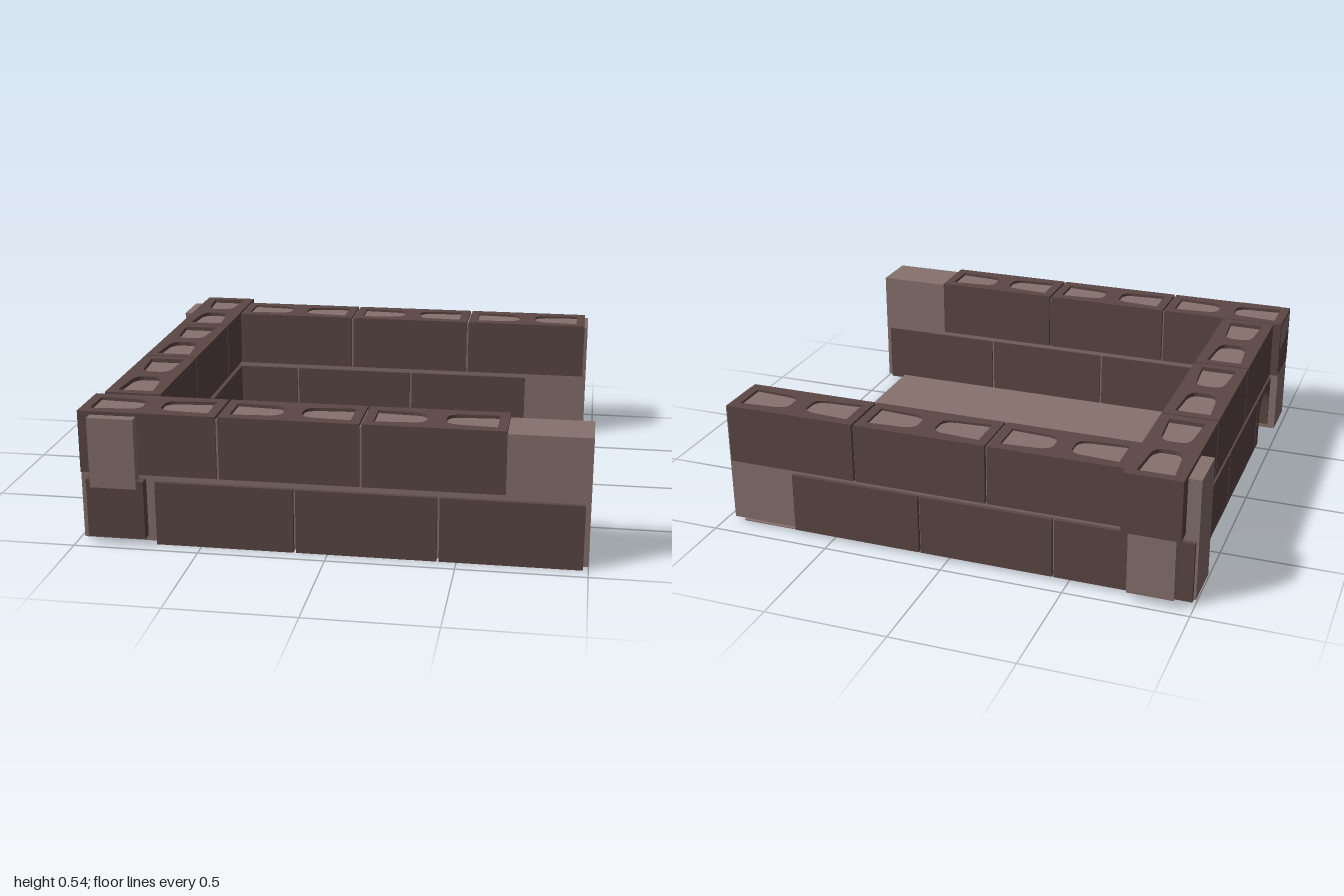
import * as THREE from 'three';

const L = 0.547, W = 0.23;   // block length and thickness

export function createModel() {
  const root = new THREE.Group();
  const blockMat = new THREE.MeshStandardMaterial({ color: 0x5b4745 });
  blockMat.name = 'dark block';
  const coreMat = new THREE.MeshStandardMaterial({ color: 0x87716d });
  coreMat.name = 'pale mortar';
  const doorMat = new THREE.MeshStandardMaterial({ color: 0xa8965a });
  doorMat.name = 'ochre wood';

  const add = (name, geo, mat, parent = root) => {
    const m = new THREE.Mesh(geo, mat);
    m.name = name;
    parent.add(m);
    return m;
  };
  const span = (name, mat, x0, x1, y0, y1, z0, z1) => {
    const m = add(name, new THREE.BoxGeometry(x1 - x0, y1 - y0, z1 - z0), mat);
    m.position.set((x0 + x1) / 2, (y0 + y1) / 2, (z0 + z1) / 2);
    return m;
  };

  // Hollow block: two cells, square at the outer end, rounded toward the middle web
  function blockGeometry(height) {
    const s = new THREE.Shape();
    s.moveTo(-L / 2, -W / 2).lineTo(L / 2, -W / 2).lineTo(L / 2, W / 2).lineTo(-L / 2, W / 2).closePath();
    for (const d of [-1, 1]) {
      const h = new THREE.Path();
      h.moveTo(d * 0.235, -0.072);
      h.lineTo(d * 0.09, -0.062);
      h.quadraticCurveTo(d * 0.042, -0.058, d * 0.037, -0.025);
      h.lineTo(d * 0.037, 0.025);
      h.quadraticCurveTo(d * 0.042, 0.058, d * 0.09, 0.062);
      h.lineTo(d * 0.235, 0.072);
      h.closePath();
      s.holes.push(h);
    }
    return new THREE.ExtrudeGeometry(s, { depth: height, bevelEnabled: false, curveSegments: 4 }).rotateX(-Math.PI / 2);
  }

  // A course of blocks along x or z, starting at `from`, centred on `across`
  function course(name, axis, from, across, y0, y1, count) {
    const g = new THREE.Group();
    g.name = name;
    const geo = blockGeometry(y1 - y0);
    for (let i = 0; i < count; i++) {
      const c = from + L / 2 + i * 0.5565;
      const b = add('block', geo, blockMat, g);
      if (axis === 'x') b.position.set(c, y0, across);
      else {
        b.rotation.y = Math.PI / 2;
        b.position.set(across, y0, c);
      }
    }
    root.add(g);
  }

  // Front wall
  course('frontLowerCourse', 'x', -0.68, 0.825, 0, 0.26, 3);
  course('frontUpperCourse', 'x', -0.98, 0.815, 0.283, 0.535, 3);
  span('frontCore', coreMat, -0.98, 1, 0.008, 0.522, 0.718, 0.922);

  // Back wall
  course('backLowerCourse', 'x', -0.99, -0.81, 0.015, 0.265, 3);
  course('backUpperCourse', 'x', -0.718, -0.81, 0.285, 0.53, 3);
  span('backCore', coreMat, -1, 0.957, 0.018, 0.52, -0.908, -0.708);

  // Side wall, leaving its front lower corner for the doorway block
  const sx = -0.833;
  course('sideLowerCourse', 'z', -0.69, sx, 0.03, 0.268, 2);
  course('sideUpperCourse', 'z', -0.975, sx, 0.29, 0.538, 3);
  span('sideCore', coreMat, -0.93, -0.745, 0.036, 0.521, -0.972, 0.46);
  span('sideCoreOverDoor', coreMat, -0.93, -0.745, 0.237, 0.521, 0.46, 0.972);

  // Rounded arch outline from z0 to z1, rising from y0 to y1
  function arch(path, z0, z1, y0, y1) {
    const r = (z1 - z0) * 0.42, k = y1 - 0.09;
    path.moveTo(z0, y0);
    path.lineTo(z0, k);
    path.quadraticCurveTo(z0 + 0.005, y1, z0 + r, y1);
    path.lineTo(z1 - r, y1);
    path.quadraticCurveTo(z1 - 0.005, y1, z1, k);
    path.lineTo(z1, y0);
    return path;
  }
  // Profiles are drawn in (z, y) and turned to run through the wall along x
  const throughWall = (shape, depth, x0) =>
    new THREE.ExtrudeGeometry(shape, { depth, bevelEnabled: false, curveSegments: 8 })
      .rotateY(-Math.PI / 2).translate(x0 + depth, 0, 0);

  // Doorway block
  const frame = new THREE.Shape();
  frame.moveTo(0.425, 0.03);
  const opening = arch(new THREE.Path(), 0.482, 0.708, 0.03, 0.237);
  for (const p of opening.getPoints(8)) frame.lineTo(p.x, p.y);
  frame.lineTo(0.967, 0.03).lineTo(0.967, 0.268).lineTo(0.425, 0.268).closePath();
  add('doorwayBlock', throughWall(frame, W, sx - W / 2), blockMat);

  // Door and knob
  const leaf = arch(new THREE.Shape(), 0.484, 0.704, 0.03, 0.233);
  leaf.closePath();
  add('door', throughWall(leaf, 0.02, -0.81), doorMat);
  for (const x of [-0.812, -0.788]) {
    add('doorKnob', new THREE.SphereGeometry(0.013, 12, 8), doorMat).position.set(x, 0.115, 0.522);
  }

  // Floor sheet
  span('floor', coreMat, -0.8, 0.912, 0.01, 0.014, -0.915, 0.717);

  return root;
}
